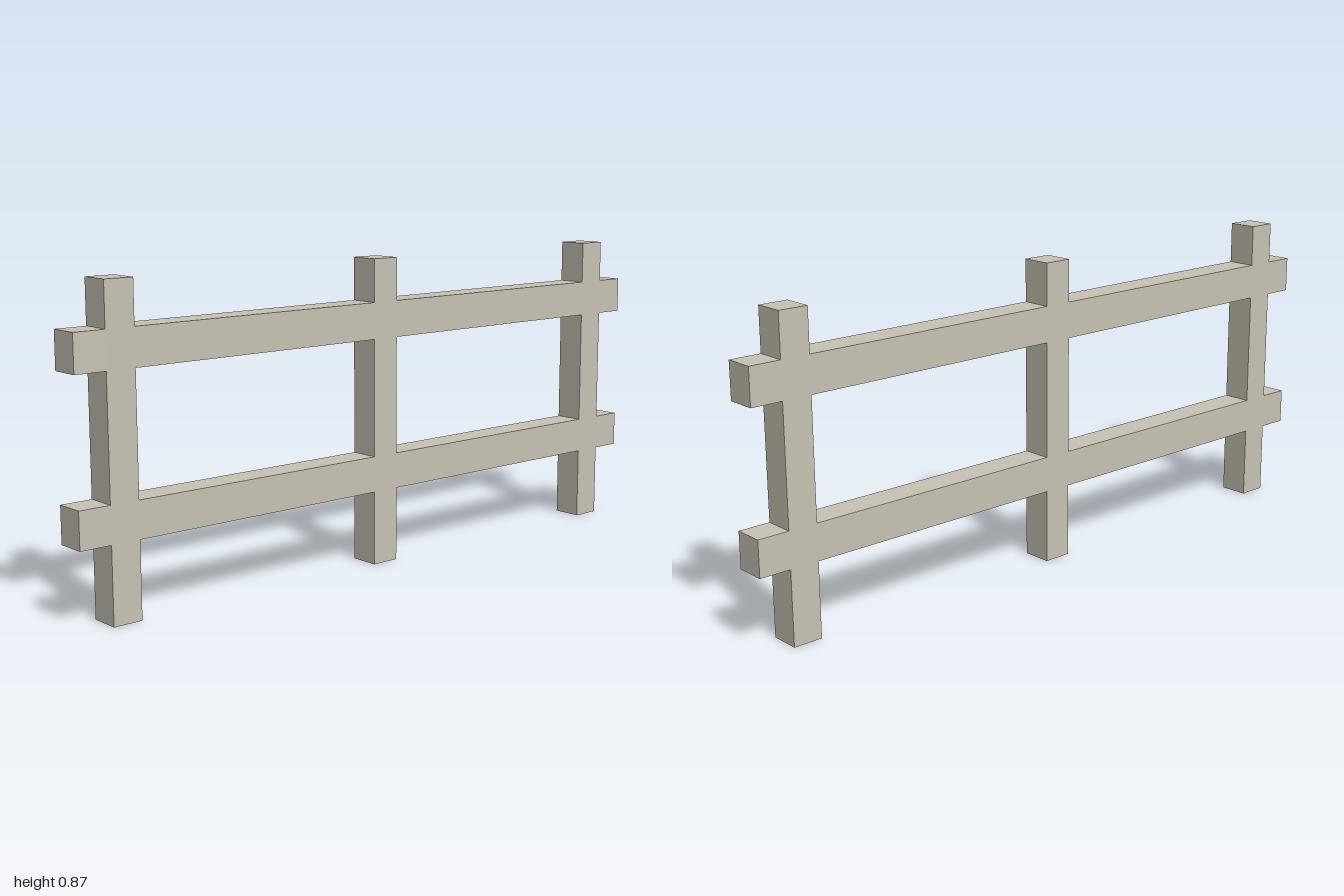
import * as THREE from 'three';

export function createModel() {
  const fence = new THREE.Group();
  fence.name = 'fence';
  const wood = new THREE.MeshStandardMaterial({ color: 0xc9c4b5 });
  wood.name = 'weathered wood';

  const depth = 0.086, postWidth = 0.084, postHeight = 0.87;
  const postXs = [-0.868, 0, 0.868];
  const rails = [
    { name: 'lowerRail', bottom: 0.211, top: 0.313 },
    { name: 'upperRail', bottom: 0.646, top: 0.749 },
  ];

  // Box given by its extents in x and y, centred on z
  function beam(parent, name, x0, x1, y0, y1) {
    const mesh = new THREE.Mesh(new THREE.BoxGeometry(x1 - x0, y1 - y0, depth), wood);
    mesh.position.set((x0 + x1) / 2, (y0 + y1) / 2, 0);
    mesh.name = name;
    parent.add(mesh);
  }

  // Three upright posts
  for (const x of postXs) beam(fence, 'post', x - postWidth / 2, x + postWidth / 2, 0, postHeight);

  // Two rails, flush with the posts and cut into sections where they meet them
  const cuts = [-1, ...postXs.flatMap((x) => [x - postWidth / 2, x + postWidth / 2]), 1];
  for (const { name, bottom, top } of rails) {
    const rail = new THREE.Group();
    rail.name = name;
    for (let i = 0; i < cuts.length; i += 2) beam(rail, 'railSection', cuts[i], cuts[i + 1], bottom, top);
    fence.add(rail);
  }
  return fence;
}
